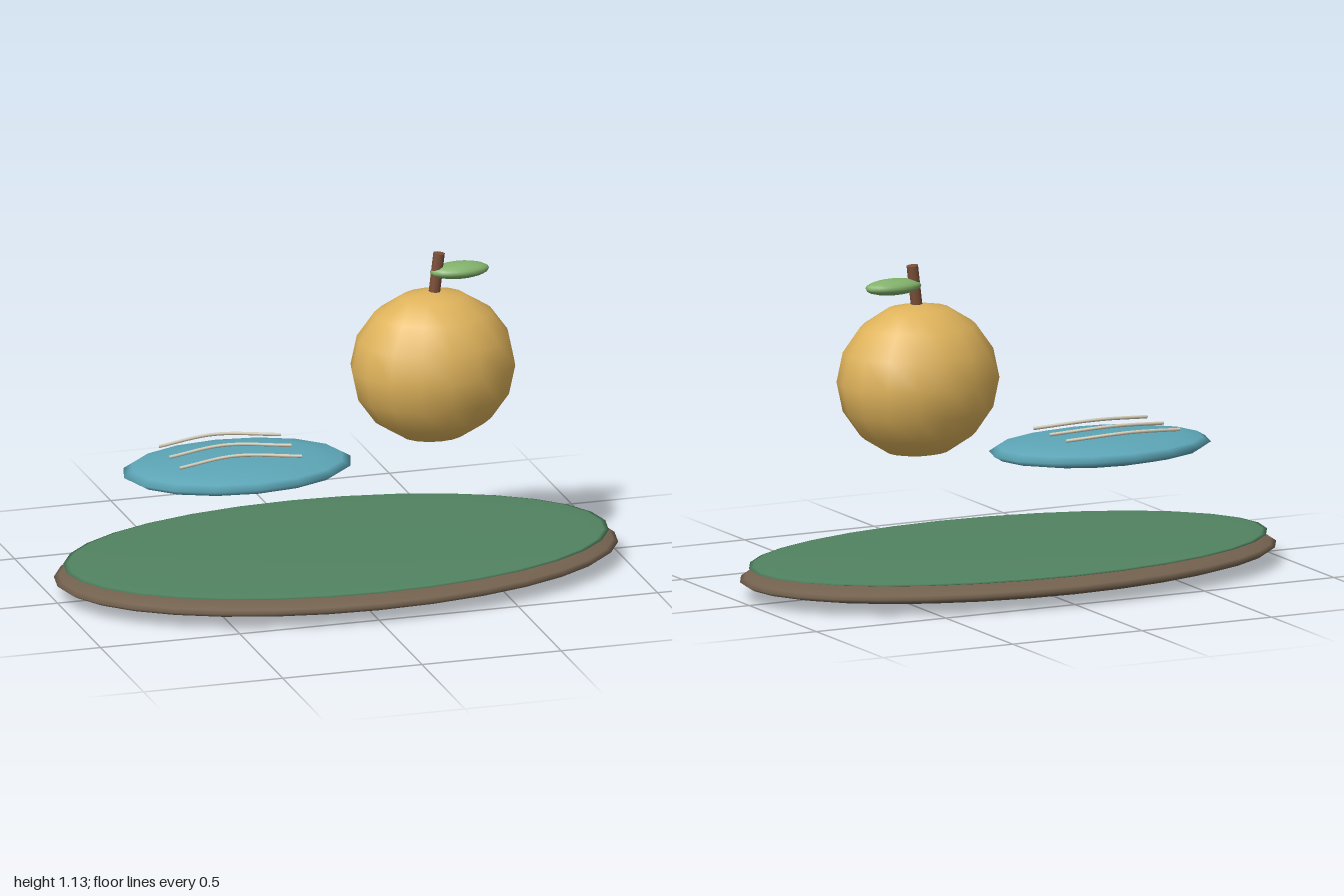
import * as THREE from 'three';

const paint = (color) => new THREE.MeshStandardMaterial({ color });

function addMesh(parent, name, geometry, color) {
  const mesh = new THREE.Mesh(geometry, paint(color));
  mesh.name = name;
  parent.add(mesh);
  return mesh;
}

// Sphere stretched to the given radii
function ellipsoid(parent, name, color, radii, position, segments, rings) {
  const geometry = new THREE.SphereGeometry(1, segments, rings);
  geometry.scale(...radii);
  const mesh = addMesh(parent, name, geometry, color);
  mesh.position.set(...position);
  return mesh;
}

export function createModel() {
  const model = new THREE.Group();
  model.name = 'fruitStillLife';

  // Oval tray: brown base with a green inlay
  ellipsoid(model, 'trayBase', 0x74624f, [1, 0.06, 0.545], [0, 0.06, 0], 32, 16);
  ellipsoid(model, 'trayInlay', 0x518361, [0.967, 0.018, 0.523], [0, 0.105, 0], 32, 16);

  // Flat blue cushion with three curved stripes
  const cushion = new THREE.Group();
  cushion.name = 'cushion';
  model.add(cushion);
  ellipsoid(cushion, 'cushionBody', 0x5da6b7, [0.407, 0.048, 0.268], [-0.355, 0.43, 0], 16, 8);
  for (const z of [-0.122, 0, 0.122]) {
    const path = new THREE.CatmullRomCurve3([
      new THREE.Vector3(-0.6, 0.488, z),
      new THREE.Vector3(-0.39, 0.502, z - 0.03),
      new THREE.Vector3(-0.16, 0.488, z),
    ]);
    addMesh(cushion, 'stripe', new THREE.TubeGeometry(path, 16, 0.006, 6), 0xd9d2bd);
  }

  // Round fruit with stem and leaf
  const fruit = new THREE.Group();
  fruit.name = 'fruit';
  model.add(fruit);
  ellipsoid(fruit, 'fruitBody', 0xdfb35b, [0.29, 0.27, 0.237], [0.348, 0.73, 0], 16, 8);
  const stem = addMesh(fruit, 'stem', new THREE.CylinderGeometry(0.021, 0.021, 0.15, 8), 0x7c5039);
  stem.position.set(0.361, 1.057, 0);
  stem.rotation.z = -0.12;
  ellipsoid(fruit, 'leaf', 0x83b26b, [0.106, 0.028, 0.053], [0.443, 1.064, 0], 16, 10);

  return model;
}
